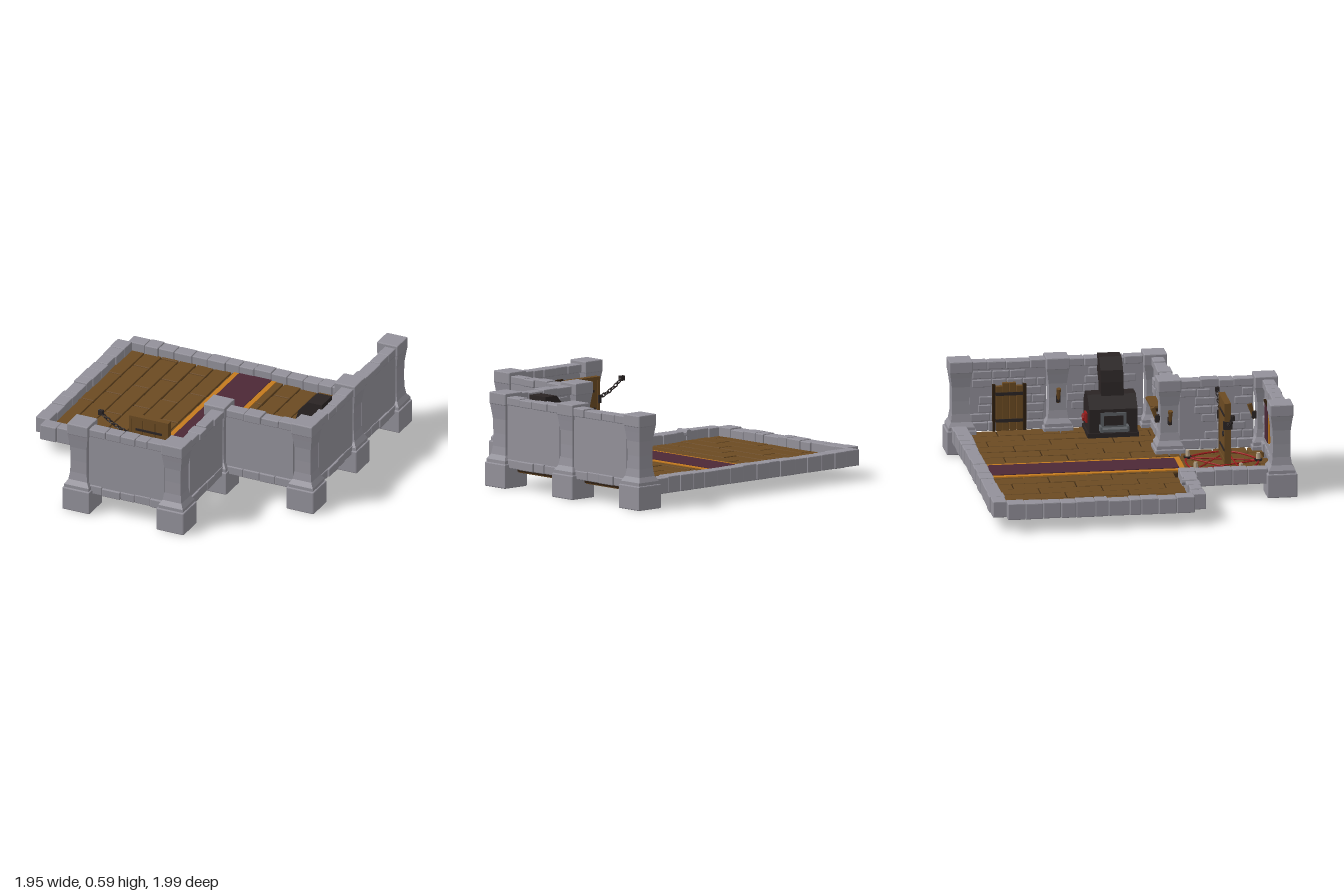
import * as THREE from 'three';
import { RoundedBoxGeometry } from 'three/addons/geometries/RoundedBoxGeometry.js';

const mat = (color) => new THREE.MeshStandardMaterial({ color, flatShading: true });
const M = {
  stone: mat(0x93919a), wood: mat(0x6b4a22), darkWood: mat(0x2e1f10), gold: mat(0xc47a1e),
  purple: mat(0x4c2836), iron: mat(0x2a2424), metal: mat(0x5c6064), red: mat(0x9c1c1c), wax: mat(0xb8a58c),
};
let seed = 7;
const rnd = () => (seed = (seed * 16807) % 2147483647) / 2147483647;

export function createModel() {
  const root = new THREE.Group();
  const group = (name, parent = root) => {
    const g = new THREE.Group();
    g.name = name;
    parent.add(g);
    return g;
  };
  const add = (name, geo, m, parent = root) => {
    const mesh = new THREE.Mesh(geo, m);
    mesh.name = name;
    parent.add(mesh);
    return mesh;
  };
  // Box given by its limits; bevel > 0 chips the edges
  const box = (name, x0, x1, y0, y1, z0, z1, m, parent = root, bevel = 0) => {
    const s = [x1 - x0, y1 - y0, z1 - z0];
    const geo = bevel ? new RoundedBoxGeometry(...s, 1, bevel) : new THREE.BoxGeometry(...s);
    const b = add(name, geo, m, parent);
    b.position.set((x0 + x1) / 2, (y0 + y1) / 2, (z0 + z1) / 2);
    return b;
  };
  const V = (x, y, z) => new THREE.Vector3(x, y, z);

  // Pillars: block base, flared square shaft, block cap
  const shaft = new THREE.LatheGeometry(
    [[0.083, 0.14], [0.083, 0.17], [0.064, 0.2], [0.056, 0.25], [0.054, 0.33], [0.056, 0.42], [0.064, 0.48], [0.07, 0.52]]
      .map(([r, y]) => new THREE.Vector2(r * Math.SQRT2, y)), 4, Math.PI / 4);
  for (const [x, z] of [[0.88, -0.905], [0.88, -0.305], [0.88, 0.3], [0.285, 0.3], [0.285, 0.9], [-0.357, 0.9]]) {
    const p = group('pillar');
    box('pillarBase', x - 0.093, x + 0.093, 0, 0.15, z - 0.093, z + 0.093, M.stone, p, 0.006);
    box('pillarCap', x - 0.072, x + 0.072, 0.51, 0.585, z - 0.072, z + 0.072, M.stone, p, 0.006);
    add('pillarShaft', shaft, M.stone, p).position.set(x, 0, z);
  }

  // Row of uneven stones along x or z, centred on line c
  const stoneRow = (name, axis, a, b, c, w, y0, y1) => {
    const g = group(name), n = Math.round((b - a) / 0.107);
    const cuts = Array.from({ length: n + 1 }, (_, i) =>
      a + ((b - a) * i) / n + (i > 0 && i < n ? (rnd() - 0.5) * 0.035 : 0));
    for (let i = 0; i < n; i++) {
      const h = w / 2 + (rnd() - 0.5) * 0.012, t = y1 + (rnd() - 0.5) * 0.008;
      const s = cuts[i] + 0.001, e = cuts[i + 1] - 0.001;
      if (axis === 'x') box('stone', s, e, y0, t, c - h, c + h, M.stone, g, 0.005);
      else box('stone', c - h, c + h, y0, t, s, e, M.stone, g, 0.005);
    }
  };

  // Tall walls: panel, footing and coping rows, raised stones on the inner face
  const tallWall = (axis, a, b, c) => {
    const g = group('tallWall');
    const slab = (name, s, e, y0, y1, d0, d1, bevel) => axis === 'x'
      ? box(name, s, e, y0, y1, c + d0, c + d1, M.stone, g, bevel)
      : box(name, c + d0, c + d1, y0, y1, s, e, M.stone, g, bevel);
    slab('wallPanel', a, b, 0.14, 0.54, -0.022, 0.032);
    for (let r = 0; r < 6; r++) {
      const y = 0.185 + r * 0.054;
      for (let s = a + rnd() * 0.06; s < b - 0.05;) {
        const len = 0.07 + rnd() * 0.06, e = Math.min(s + len, b);
        if (rnd() < 0.7) slab('wallStone', s, e - 0.005, y, y + 0.048, -0.036 + rnd() * 0.008, 0, 0.005);
        s += len;
      }
    }
    stoneRow('footingStones', axis, a, b, c, 0.085, 0.125, 0.18);
    stoneRow('copingStones', axis, a, b, c, 0.08, 0.515, 0.565);
  };
  tallWall('z', -0.84, -0.37, 0.9);
  tallWall('z', -0.24, 0.23, 0.9);
  tallWall('x', 0.35, 0.81, 0.31);
  tallWall('z', 0.37, 0.83, 0.31);
  tallWall('x', -0.29, 0.22, 0.91);

  // Low walls on the open sides
  stoneRow('lowWallBack', 'x', -0.91, 0.82, -0.92, 0.09, 0.08, 0.18);
  stoneRow('lowWallRight', 'z', -0.88, 0.28, -0.93, 0.09, 0.08, 0.18);
  stoneRow('lowWallFront', 'x', -0.91, -0.32, 0.315, 0.085, 0.08, 0.18);
  stoneRow('lowWallAlcove', 'z', 0.27, 0.82, -0.36, 0.085, 0.08, 0.18);
  const peg = add('wallPeg', new THREE.CylinderGeometry(0.022, 0.022, 0.09, 8), M.stone);
  peg.rotation.x = Math.PI / 2;
  peg.position.set(-0.61, 0.175, 0.295);

  // Floorboards with staggered joints
  const boards = (name, x0, x1, z0, z1, first, pitch, len, gap) => {
    const g = group(name);
    for (let x = first, i = 0; x < x1 - 0.02; x += pitch, i++) {
      const l = Math.max(x, x0), r = Math.min(x + pitch, x1);
      let z = z0 - len * ((i * 0.38 + 0.15) % 1);
      for (; z < z1; z += len) {
        const a = Math.max(z, z0), b = Math.min(z + len, z1);
        if (b - a > 0.03) box('board', l + gap, r - gap, 0.09, 0.122 + rnd() * 0.004, a + gap, b - gap, M.wood, g, 0.004);
      }
    }
  };
  box('floorCore', -0.9, 0.87, 0.098, 0.112, -0.89, 0.3, M.darkWood);
  boards('mainFloor', -0.9, 0.87, -0.89, 0.29, -0.914, 0.1185, 0.39, 0.004);
  boards('alcoveFloor', -0.33, 0.27, 0.29, 0.88, -0.33, 0.12, 0.21, 0.005);

  // Carpet runner
  box('carpetBorder', -0.185, 0.103, 0.08, 0.13, -0.88, 0.34, M.gold);
  box('carpet', -0.15, 0.07, 0.078, 0.134, -0.881, 0.305, M.purple);

  // Furnace: bevelled body, mouth, tray, side hatch and bent flue
  const furnace = group('furnace');
  const profile = new THREE.Shape([[0.62, 0.125], [0.86, 0.125], [0.86, 0.31], [0.8, 0.375], [0.7, 0.375], [0.62, 0.3]]
    .map((p) => new THREE.Vector2(...p)));
  add('furnaceBody', new THREE.ExtrudeGeometry(profile, { depth: 0.3, bevelEnabled: false }), M.iron, furnace)
    .position.z = -0.14;
  box('furnaceFoot', 0.61, 0.865, 0.122, 0.15, -0.148, 0.168, M.iron, furnace);
  box('furnaceMouth', 0.612, 0.63, 0.18, 0.28, -0.07, 0.09, M.metal, furnace);
  box('furnaceOpening', 0.609, 0.63, 0.2, 0.26, -0.05, 0.07, M.iron, furnace);
  box('furnaceTray', 0.56, 0.63, 0.17, 0.188, -0.08, 0.1, M.metal, furnace);
  for (const z of [-0.08, 0.088]) box('trayLip', 0.56, 0.63, 0.185, 0.205, z, z + 0.012, M.metal, furnace);
  box('furnaceHatch', 0.69, 0.755, 0.2, 0.26, -0.152, -0.13, M.red, furnace);
  const knob = add('hatchWheel', new THREE.TorusGeometry(0.02, 0.006, 5, 8), M.red, furnace);
  knob.position.set(0.722, 0.23, -0.163);
  const flue = new THREE.Shape([[0.69, 0.36], [0.8, 0.36], [0.815, 0.43], [0.88, 0.5], [0.88, 0.59], [0.785, 0.59], [0.72, 0.52], [0.7, 0.45]]
    .map((p) => new THREE.Vector2(...p)));
  add('furnaceFlue', new THREE.ExtrudeGeometry(flue, { depth: 0.14, bevelEnabled: false }), M.iron, furnace)
    .position.z = -0.055;

  // Door set in the left wall
  const wallDoor = group('wallDoor');
  for (let i = 0; i < 4; i++) {
    const z = -0.685 + i * 0.0425, top = i % 3 ? 0.43 : 0.41;
    box('doorBoard', 0.848, 0.885, 0.125, top, z, z + 0.04, M.wood, wallDoor, 0.003);
  }
  for (const y of [0.18, 0.35]) box('doorBand', 0.843, 0.86, y, y + 0.02, -0.685, -0.517, M.iron, wallDoor);
  for (const z of [-0.705, -0.515]) box('doorPost', 0.845, 0.885, 0.125, 0.42, z, z + 0.018, M.darkWood, wallDoor);

  // Shelf and banner
  box('shelf', 0.47, 0.69, 0.335, 0.355, 0.22, 0.285, M.wood, root, 0.004);
  for (const x of [0.51, 0.63]) box('shelfBracket', x, x + 0.02, 0.305, 0.337, 0.24, 0.285, M.darkWood);
  box('bannerBorder', -0.11, 0.04, 0.25, 0.48, 0.862, 0.875, M.gold);
  box('banner', -0.095, 0.025, 0.25, 0.481, 0.859, 0.87, M.purple);
  box('bannerRod', -0.125, 0.055, 0.477, 0.49, 0.857, 0.872, M.darkWood);

  // Wall torches on the pillars
  for (const [x, z, dx, dz] of [[0.82, -0.305, -1, 0], [0.225, 0.3, -1, 0], [0.285, 0.24, 0, -1], [0.285, 0.84, 0, -1]]) {
    const t = group('torch');
    t.position.set(x, 0.34, z);
    t.rotation.y = Math.atan2(dx, dz);
    box('torchBracket', -0.012, 0.012, -0.035, 0.01, -0.01, 0.022, M.iron, t);
    const stick = add('torchHandle', new THREE.CylinderGeometry(0.016, 0.008, 0.1, 6), M.wood, t);
    stick.position.set(0, 0.01, 0.022);
    stick.rotation.x = 0.3;
  }

  // Standing door held by chains
  const hung = group('chainedDoor');
  for (let i = 0; i < 3; i++) {
    const x = -0.165 + i * 0.0833;
    box('doorBoard', x, x + 0.081, 0.15, 0.53, 0.588, 0.616, M.wood, hung, 0.003);
  }
  for (const x of [-0.175, 0.075]) box('doorEdge', x, x + 0.018, 0.15, 0.535, 0.582, 0.622, M.wood, hung);
  for (const y of [0.15, 0.515]) box('doorRail', -0.165, 0.085, y, y + 0.02, 0.582, 0.622, M.wood, hung);
  for (const y of [0.22, 0.44]) box('doorStrap', -0.13, 0.05, y, y + 0.014, 0.583, 0.621, M.iron, hung);
  for (const x of [-0.18, 0.078]) box('chainClamp', x, x + 0.022, 0.37, 0.42, 0.574, 0.63, M.iron, hung);
  const handle = add('doorRing', new THREE.TorusGeometry(0.016, 0.004, 5, 8), M.iron, hung);
  handle.position.set(-0.12, 0.33, 0.58);
  const link = new THREE.TorusGeometry(0.014, 0.0045, 5, 8).scale(1.3, 0.8, 1);
  for (const [from, to] of [[V(0.09, 0.4, 0.602), V(0.275, 0.5, 0.602)], [V(-0.17, 0.4, 0.602), V(-0.375, 0.5, 0.602)]]) {
    const path = new THREE.QuadraticBezierCurve3(from, from.clone().lerp(to, 0.5).add(V(0, -0.035, 0)), to);
    for (let i = 0; i < 9; i++) {
      const d = path.getTangent(i / 8), l = add('chainLink', link, M.iron, hung);
      l.position.copy(path.getPoint(i / 8));
      l.rotation.set(i % 2 ? Math.PI / 2 : 0, 0, Math.atan2(d.y, d.x), 'ZYX');
    }
    box('chainAnchor', to.x - 0.015, to.x + 0.015, 0.485, 0.515, 0.59, 0.614, M.iron, hung);
  }

  // Floor circle with a five-pointed star and candles at its tips
  const circle = group('floorCircle');
  const tips = [[-0.19, 0.4], [0.08, 0.39], [0.18, 0.65], [-0.04, 0.81], [-0.26, 0.67]].map(([x, z]) => V(x, 0.129, z));
  const ring = new THREE.CatmullRomCurve3(tips, true);
  add('circleLine', new THREE.TubeGeometry(ring, 40, 0.006, 5, true), M.red, circle);
  tips.forEach((p, i) => {
    add('starLine', new THREE.TubeGeometry(new THREE.LineCurve3(p, tips[(i + 2) % 5]), 1, 0.005, 5), M.red, circle);
    add('candleDish', new THREE.CylinderGeometry(0.027, 0.022, 0.012, 10), M.iron, circle).position.set(p.x, 0.132, p.z);
    add('candle', new THREE.CylinderGeometry(0.012, 0.014, 0.045, 8), M.wax, circle).position.set(p.x, 0.155, p.z);
  });
  return root;
}
